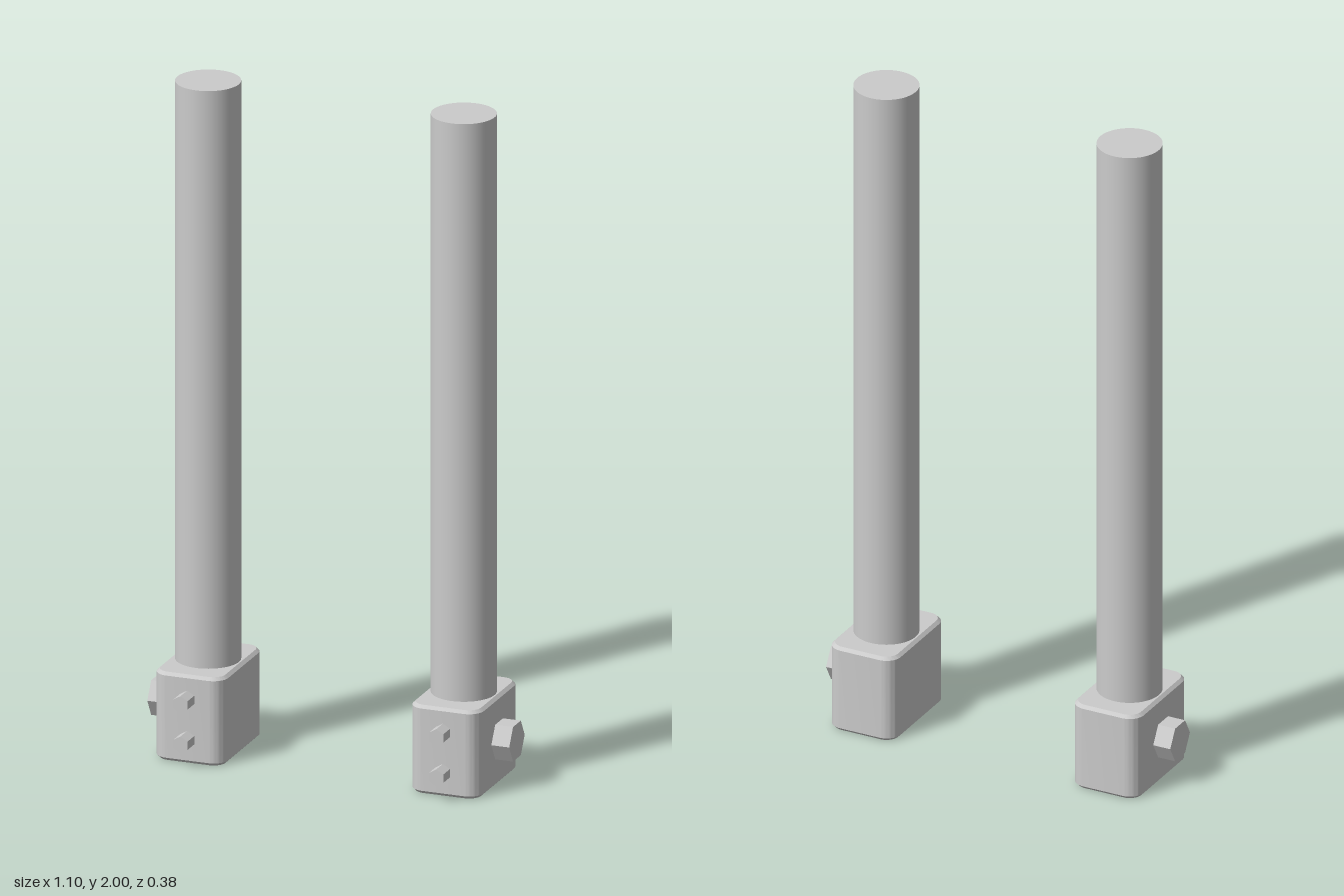
import * as THREE from 'three';
import { toCreasedNormals } from 'three/addons/utils/BufferGeometryUtils.js';

const material = new THREE.MeshStandardMaterial({ color: 0xcccccc });
const flatMaterial = new THREE.MeshStandardMaterial({ color: 0xcccccc, flatShading: true });

function add(parent, name, geometry, mat, x, y, z) {
  const mesh = new THREE.Mesh(geometry, mat);
  mesh.name = name;
  mesh.position.set(x, y, z);
  parent.add(mesh);
}

// Upright block with rounded vertical corners and a small chamfer top and bottom
function blockGeometry(width, height, depth, radius, chamfer) {
  const w = width / 2 - chamfer, d = depth / 2 - chamfer, r = radius - chamfer;
  const shape = new THREE.Shape();
  shape.absarc(w - r, d - r, r, 0, Math.PI / 2);
  shape.absarc(-w + r, d - r, r, Math.PI / 2, Math.PI);
  shape.absarc(-w + r, -d + r, r, Math.PI, Math.PI * 1.5);
  shape.absarc(w - r, -d + r, r, Math.PI * 1.5, Math.PI * 2);
  shape.closePath();
  const geometry = new THREE.ExtrudeGeometry(shape, {
    depth: height - 2 * chamfer, curveSegments: 8,
    bevelThickness: chamfer, bevelSize: chamfer, bevelSegments: 1,
  });
  geometry.translate(0, 0, chamfer).rotateX(-Math.PI / 2);
  return toCreasedNormals(geometry, Math.PI / 6);
}

// One post; side is +1 for the left post, -1 for the right
function createPost(side) {
  const post = new THREE.Group();
  post.name = side > 0 ? 'leftPost' : 'rightPost';
  post.position.x = side * 0.39;

  add(post, 'baseBlock', blockGeometry(0.215, 0.265, 0.324, 0.045, 0.009), material, 0, 0, -0.026);

  const pole = new THREE.CylinderGeometry(0.094, 0.094, 1.75, 64);
  add(post, 'pole', pole, material, 0, 1.125, -0.026);

  // Large hexagonal bolt on the outer side
  const sideBolt = new THREE.CylinderGeometry(0.06, 0.06, 0.08, 6).rotateZ(Math.PI / 2);
  add(post, 'sideBolt', sideBolt, flatMaterial, side * 0.122, 0.135, -0.026);

  // Two small hexagonal screws on the front
  for (const y of [0.073, 0.194]) {
    const screw = new THREE.CylinderGeometry(0.025, 0.025, 0.08, 6).rotateX(Math.PI / 2);
    add(post, 'frontScrew', screw, flatMaterial, 0, y, 0.148);
  }
  return post;
}

export function createModel() {
  const model = new THREE.Group();
  model.name = 'postPair';
  for (const side of [-1, 1]) model.add(createPost(side));
  return model;
}
